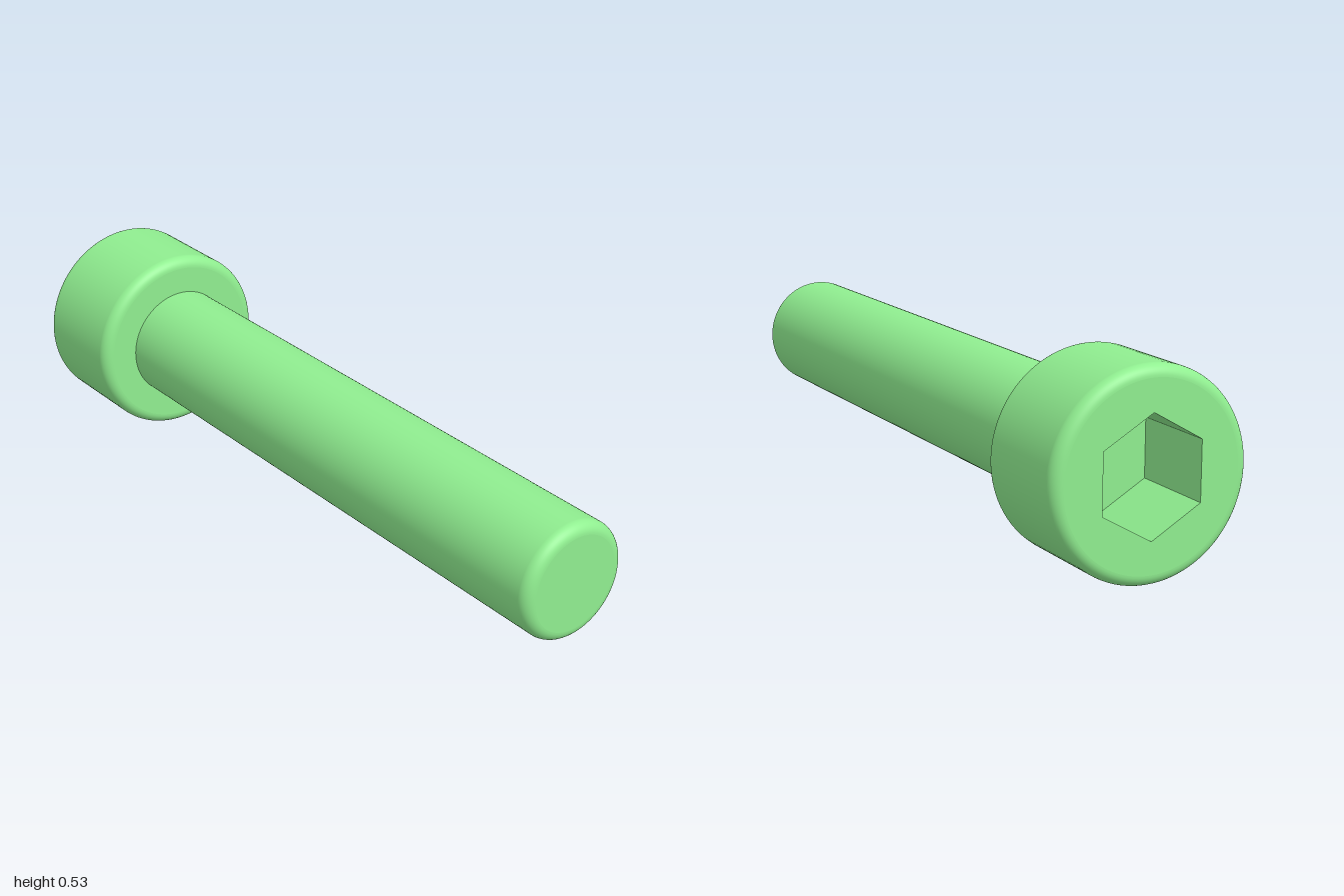
import * as THREE from 'three';

const HEAD_R = 0.263, SHAFT_R = 0.158, FILLET = 0.03;
const BACK = -1, SHOULDER = -0.684, TIP = 1;
const HEX_R = 0.152, HEX_DEPTH = 0.243, SEG = 96;

export function createModel() {
  const group = new THREE.Group();
  group.name = 'socketHeadBolt';
  const material = new THREE.MeshStandardMaterial({ color: 0x90ee90 });
  const flat = new THREE.MeshStandardMaterial({ color: 0x90ee90, flatShading: true });

  const add = (parent, name, geometry, z = 0, mat = material) => {
    const mesh = new THREE.Mesh(geometry, mat);
    mesh.name = name;
    mesh.position.z = z;
    parent.add(mesh);
  };

  // Quarter-round profile points from angle a to b (degrees)
  const arc = (r, z, a, b) => Array.from({ length: 11 }, (_, i) => {
    const t = THREE.MathUtils.degToRad(a + (b - a) * i / 10);
    return new THREE.Vector2(r - FILLET + FILLET * Math.cos(t), z + FILLET * Math.sin(t));
  });

  // Profile revolved around the z axis
  const revolve = (points) => new THREE.LatheGeometry(points, SEG).rotateX(Math.PI / 2);

  // Head: rounded wall, shoulder ring, back face with hexagonal opening
  const head = new THREE.Group();
  head.name = 'head';
  add(head, 'headWall', revolve([
    ...arc(HEAD_R, BACK + FILLET, -90, 0),
    ...arc(HEAD_R, SHOULDER - FILLET, 0, 90),
  ]));
  add(head, 'shoulder', new THREE.RingGeometry(SHAFT_R, HEAD_R - FILLET, SEG), SHOULDER);

  const face = new THREE.Shape().absarc(0, 0, HEAD_R - FILLET, 0, Math.PI * 2);
  const hexagon = Array.from({ length: 6 }, (_, i) => {
    const t = Math.PI / 2 - i * Math.PI / 3;
    return new THREE.Vector2(HEX_R * Math.cos(t), HEX_R * Math.sin(t));
  });
  face.holes.push(new THREE.Path(hexagon));
  add(head, 'headFace', new THREE.ShapeGeometry(face, SEG).rotateY(Math.PI), BACK);

  // Hexagonal socket: inward-facing walls (mirrored) and floor
  const walls = new THREE.CylinderGeometry(HEX_R, HEX_R, HEX_DEPTH, 6, 1, true)
    .rotateX(Math.PI / 2).toNonIndexed();
  walls.scale(-1, 1, 1);
  walls.computeVertexNormals();
  add(head, 'socketWalls', walls, BACK + HEX_DEPTH / 2, flat);
  add(head, 'socketFloor',
    new THREE.CircleGeometry(HEX_R, 6, Math.PI / 2).rotateY(Math.PI), BACK + HEX_DEPTH);

  // Shaft: plain cylinder with a rounded tip
  const shaft = new THREE.Group();
  shaft.name = 'shaft';
  add(shaft, 'shaftWall', revolve([
    new THREE.Vector2(SHAFT_R, SHOULDER),
    ...arc(SHAFT_R, TIP - FILLET, 0, 90),
  ]));
  add(shaft, 'shaftTip', new THREE.CircleGeometry(SHAFT_R - FILLET, SEG), TIP);

  group.add(head, shaft);
  group.children.forEach((part) => { part.position.y = HEAD_R; });
  return group;
}
